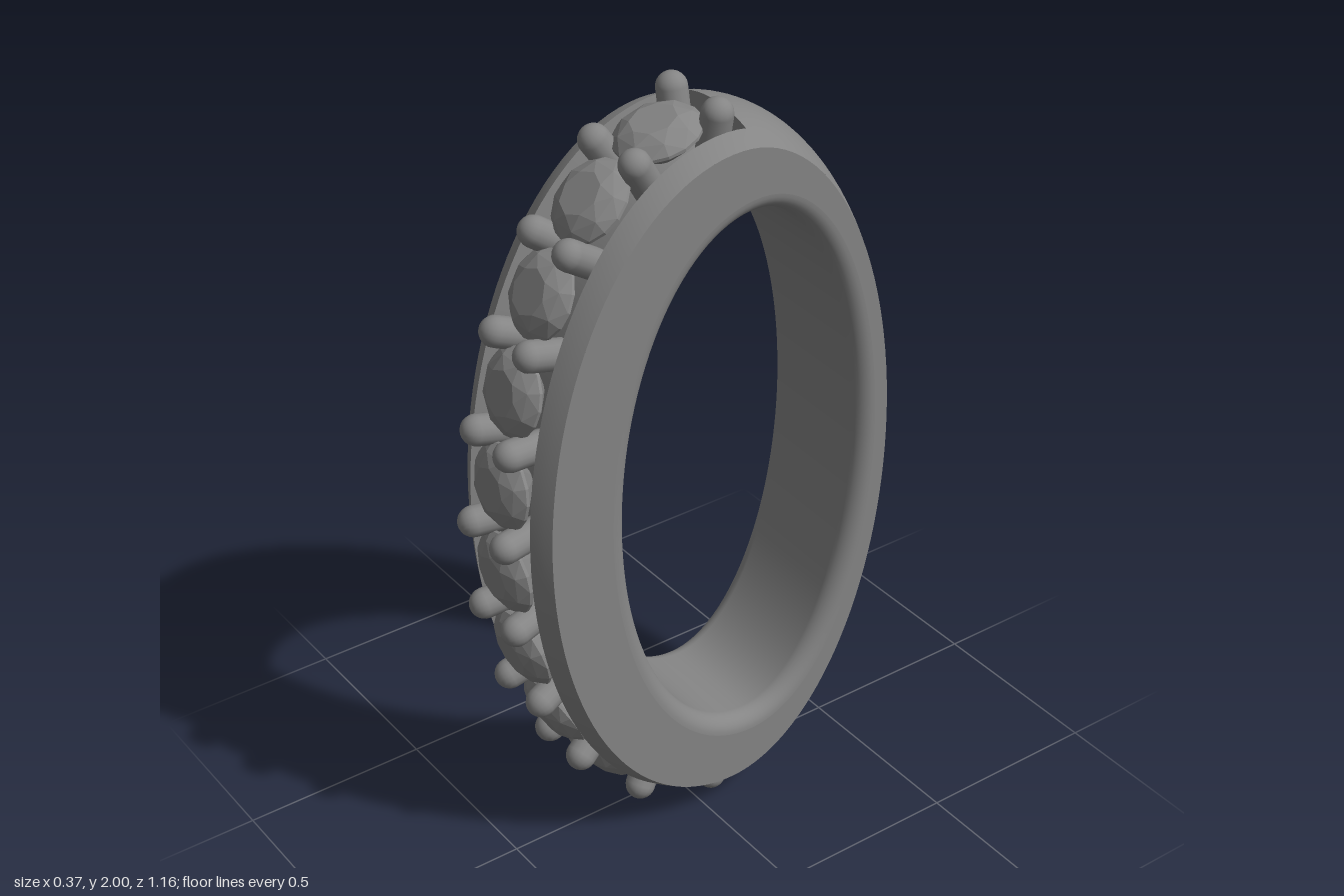
import * as THREE from 'three';
import { ConvexGeometry } from 'three/addons/geometries/ConvexGeometry.js';

const W = 0.185;                                  // half width of the band
const RAD = Math.PI / 180;
const GREY = 0x858585;
const OUTER = { z: -0.06, front: 0.54, back: 0.47, b: 0.905 };
const INNER = { z: -0.12, front: 0.382, back: 0.327, b: 0.728 };

// Point and normal on an oval made of two half ellipses, t = 0 faces the front
function oval(e, t, off = 0) {
  const c = Math.cos(t), s = Math.sin(t);
  const a = c >= 0 ? e.front : e.back;
  const n = new THREE.Vector3(0, s / e.b, c / a).normalize();
  const p = new THREE.Vector3(0, 1 + e.b * s, e.z + a * c).addScaledVector(n, off);
  return { p, n };
}

// Smooth grid surface from f(i, j) -> Vector3
function grid(nu, nv, f) {
  const pos = [], idx = [];
  for (let j = 0; j <= nv; j++) {
    for (let i = 0; i <= nu; i++) pos.push(...f(i, j).toArray());
  }
  for (let j = 0; j < nv; j++) {
    for (let i = 0; i < nu; i++) {
      const a = j * (nu + 1) + i, c = a + nu + 1;
      idx.push(a, a + 1, c, a + 1, c + 1, c);
    }
  }
  const g = new THREE.BufferGeometry();
  g.setAttribute('position', new THREE.Float32BufferAttribute(pos, 3));
  g.setIndex(idx);
  g.computeVertexNormals();
  return g;
}

// Angle at which the channel stops, so that its end is an upright plane
const endAngle = off => Math.acos(-0.05 / (OUTER.back + off * OUTER.b / OUTER.back));

// Angle ranges for a given offset: the channel, the plain back, the whole ring
const front = off => [-endAngle(off), endAngle(off)];
const back = off => [endAngle(off), 2 * Math.PI - endAngle(off)];
const whole = () => [0, 2 * Math.PI];

// Sweep a strip of [x, offset, oval] points round the band
function sweep(pts, range, n) {
  return grid(pts.length - 1, n, (i, j) => {
    const [x, off, e] = pts[i];
    const [t0, t1] = range(off);
    return oval(e, t0 + (t1 - t0) * j / n, off).p.setX(x);
  });
}

const crown = x => 0.052 * (1 - (x / W) ** 2);
const arc = (x0, x1, n) => Array.from({ length: n + 1 }, (_, i) => {
  const x = x0 + (x1 - x0) * i / n;
  return [x, crown(x), OUTER];
});

export function createModel() {
  const group = new THREE.Group();
  const mat = new THREE.MeshStandardMaterial({ color: GREY });
  const bandMat = new THREE.MeshStandardMaterial({ color: GREY, side: THREE.DoubleSide });
  const stoneMat = new THREE.MeshStandardMaterial({ color: GREY, flatShading: true });
  const add = (parent, name, geo, m) => {
    const mesh = new THREE.Mesh(geo, m);
    mesh.name = name;
    parent.add(mesh);
    return mesh;
  };

  // Band
  const band = new THREE.Group();
  band.name = 'band';
  group.add(band);
  const top = 0.13, bottom = 0.118, floor = -0.045, fillet = 0.045;
  const addStrip = (name, pts, range, n) => add(band, name, sweep(pts, range, n), bandMat);

  addStrip('backCrown', arc(-W, W, 14), back, 56);
  addStrip('rightLip', arc(-W, -top, 3), front, 64);
  addStrip('leftLip', arc(top, W, 3), front, 64);
  addStrip('rightChannelWall', [[-top, crown(top), OUTER], [-bottom, floor, OUTER]], front, 64);
  addStrip('leftChannelWall', [[bottom, floor, OUTER], [top, crown(top), OUTER]], front, 64);
  addStrip('channelFloor', [[-bottom, floor, OUTER], [bottom, floor, OUTER]], front, 64);

  // Flat sides
  addStrip('leftSide', [[W, 0, OUTER], [W, fillet, INNER]], whole, 120);
  addStrip('rightSide', [[-W, fillet, INNER], [-W, 0, OUTER]], whole, 120);

  // Inside of the ring with rounded edges
  const inside = [];
  for (let i = 0; i <= 8; i++) {
    const a = i / 8 * Math.PI / 2;
    inside.push([W - fillet * (1 - Math.cos(a)), fillet * (1 - Math.sin(a)), INNER]);
  }
  const mirrored = inside.map(([x, o, e]) => [-x, o, e]).reverse();
  addStrip('inside', [...inside, ...mirrored], whole, 120);

  // End walls of the channel
  for (const s of [1, -1]) {
    add(band, 'channelEnd', grid(8, 1, (i, j) => {
      const x = s * (i / 4 - 1) * (j ? top : bottom);
      const off = j ? crown(x) : floor;
      return oval(OUTER, s * endAngle(off), off).p.setX(x);
    }), bandMat);
  }

  // Round faceted stone, its axis along y
  const ring = (n, r, y, turn = 0) => Array.from({ length: n }, (_, i) => {
    const a = (i + turn) / n * 2 * Math.PI;
    return new THREE.Vector3(r * Math.cos(a), y, r * Math.sin(a));
  });
  const stoneGeo = new ConvexGeometry([
    ...ring(8, 0.058, 0.06), ...ring(8, 0.09, 0.045, 0.5),
    ...ring(16, 0.11, 0.023), ...ring(16, 0.11, 0.015),
    new THREE.Vector3(0, -0.07, 0),
  ]);
  const up = new THREE.Vector3(0, 1, 0);

  // Angles of the prong pairs, evenly spaced along the oval
  const half = [15.4, 31.6, 49.2, 69.1, 90];
  const angles = [...half.map(a => -a).reverse(), 0, ...half];
  const stones = new THREE.Group(), prongs = new THREE.Group();
  stones.name = 'stones';
  prongs.name = 'prongs';
  group.add(stones, prongs);
  for (let i = 0; i < angles.length - 1; i++) {
    const { p, n } = oval(OUTER, (angles[i] + angles[i + 1]) / 2 * RAD);
    const stone = add(stones, 'stone', stoneGeo, stoneMat);
    stone.position.copy(p);
    stone.quaternion.setFromUnitVectors(up, n);
  }

  // Round-tipped prongs, leaning slightly outwards
  const r = 0.039, length = 0.11;
  const prongGeo = new THREE.CapsuleGeometry(r, length, 6, 16).translate(0, -length / 2, 0);
  angles.forEach(a => {
    const tipX = Math.abs(a) > 80 ? 0.088 : Math.abs(a) > 60 ? 0.08 : 0.071;
    for (const s of [1, -1]) {
      const { p, n } = oval(OUTER, a * RAD, 0.096 - r);
      const prong = add(prongs, 'prong', prongGeo, mat);
      prong.position.copy(p).setX(s * tipX);
      prong.quaternion.setFromUnitVectors(up, n.setX(s * 0.2).normalize());
    }
  });
  return group;
}
